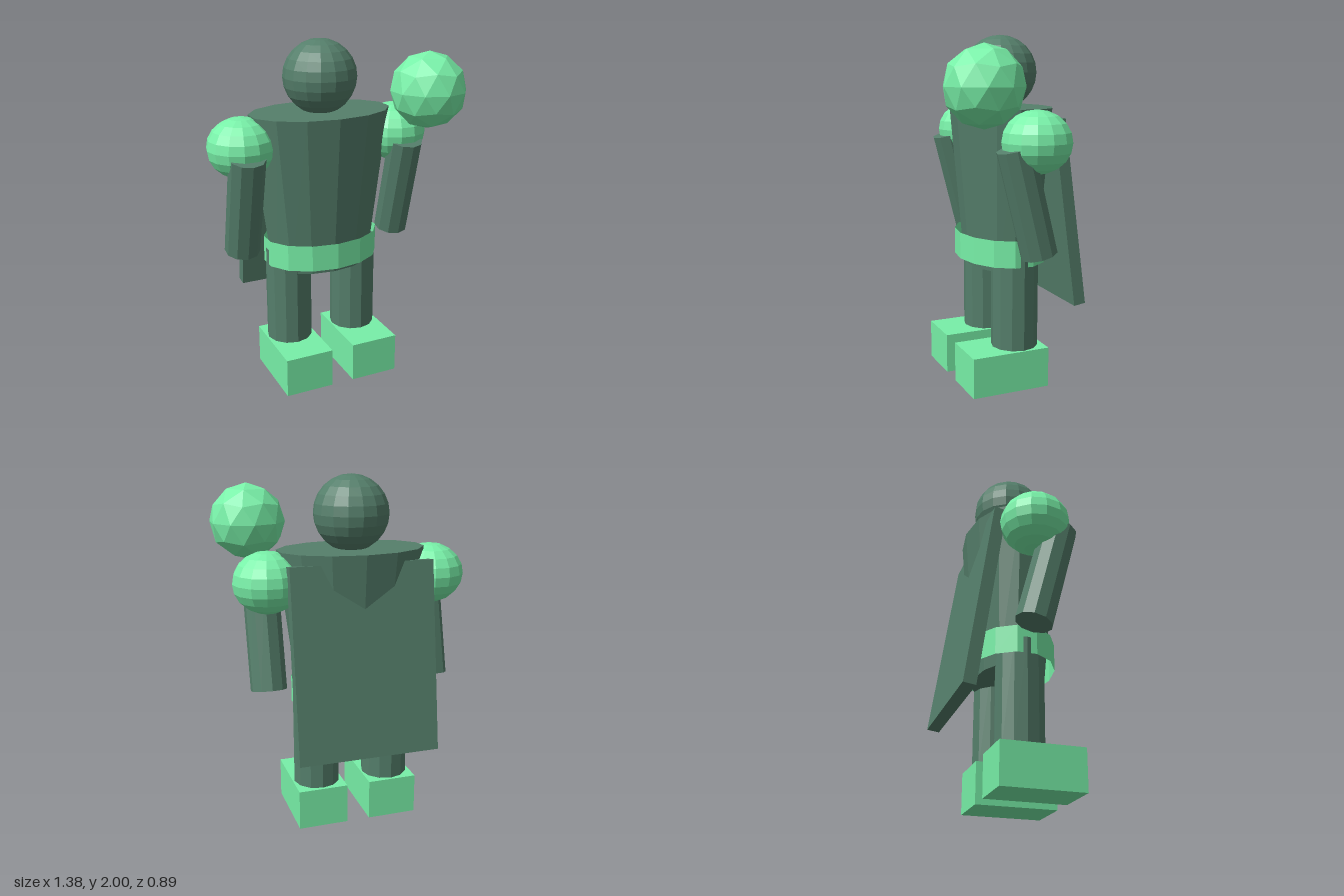
import * as THREE from 'three';

const CX = -0.026, CZ = -0.086; // body axis

export function createModel() {
  const group = new THREE.Group();
  const dark = new THREE.MeshStandardMaterial({ color: 0x557f6b, flatShading: true });
  const light = new THREE.MeshStandardMaterial({ color: 0x78f0a8, flatShading: true });
  const lightThin = light.clone();
  lightThin.side = THREE.DoubleSide;

  function add(name, geometry, material, x, y, z) {
    const mesh = new THREE.Mesh(geometry, material);
    mesh.name = name;
    mesh.position.set(x, y, z);
    group.add(mesh);
    return mesh;
  }

  // Head and tapered oval torso
  add('head', new THREE.SphereGeometry(0.21, 16, 12), dark, CX, 1.79, CZ);
  const torso = new THREE.CylinderGeometry(0.422, 0.304, 0.92, 14).scale(1, 1, 0.633);
  add('torso', torso, dark, CX, 1.14, CZ);

  // Open oval belt around the hips
  const belt = new THREE.CylinderGeometry(0.349, 0.349, 0.154, 14, 1, true).scale(1, 1, 0.716);
  add('belt', belt, lightThin, CX, 0.797, CZ);

  // Paired limbs
  for (const [side, s] of [['left', 1], ['right', -1]]) {
    const shoulder = new THREE.SphereGeometry(0.192, 14, 10).scale(1, 0.89, 1);
    add(side + 'Shoulder', shoulder, light, CX + s * 0.476, 1.434, CZ);
    const arm = add(side + 'Arm', new THREE.CylinderGeometry(0.102, 0.102, 0.6, 10), dark,
      CX + s * 0.487, 1.116, -0.027);
    arm.rotation.x = 0.25;
    add(side + 'Leg', new THREE.CylinderGeometry(0.135, 0.135, 0.61, 12), dark,
      CX + s * 0.211, 0.505, CZ);
    add(side + 'Foot', new THREE.BoxGeometry(0.288, 0.233, 0.465), light,
      CX + s * 0.212, 0.1165, -0.005);
  }

  // Slanted cape slab behind the body
  const cape = add('cape', new THREE.BoxGeometry(0.807, 1.07, 0.07), dark, CX, 1.014, -0.335);
  cape.rotation.x = 0.14;

  // Faceted orb floating before the left shoulder, one vertex pointing up
  const orb = new THREE.IcosahedronGeometry(0.214, 1).rotateZ(-0.5536);
  add('orb', orb, light, 0.487, 1.727, 0.231);

  return group;
}
